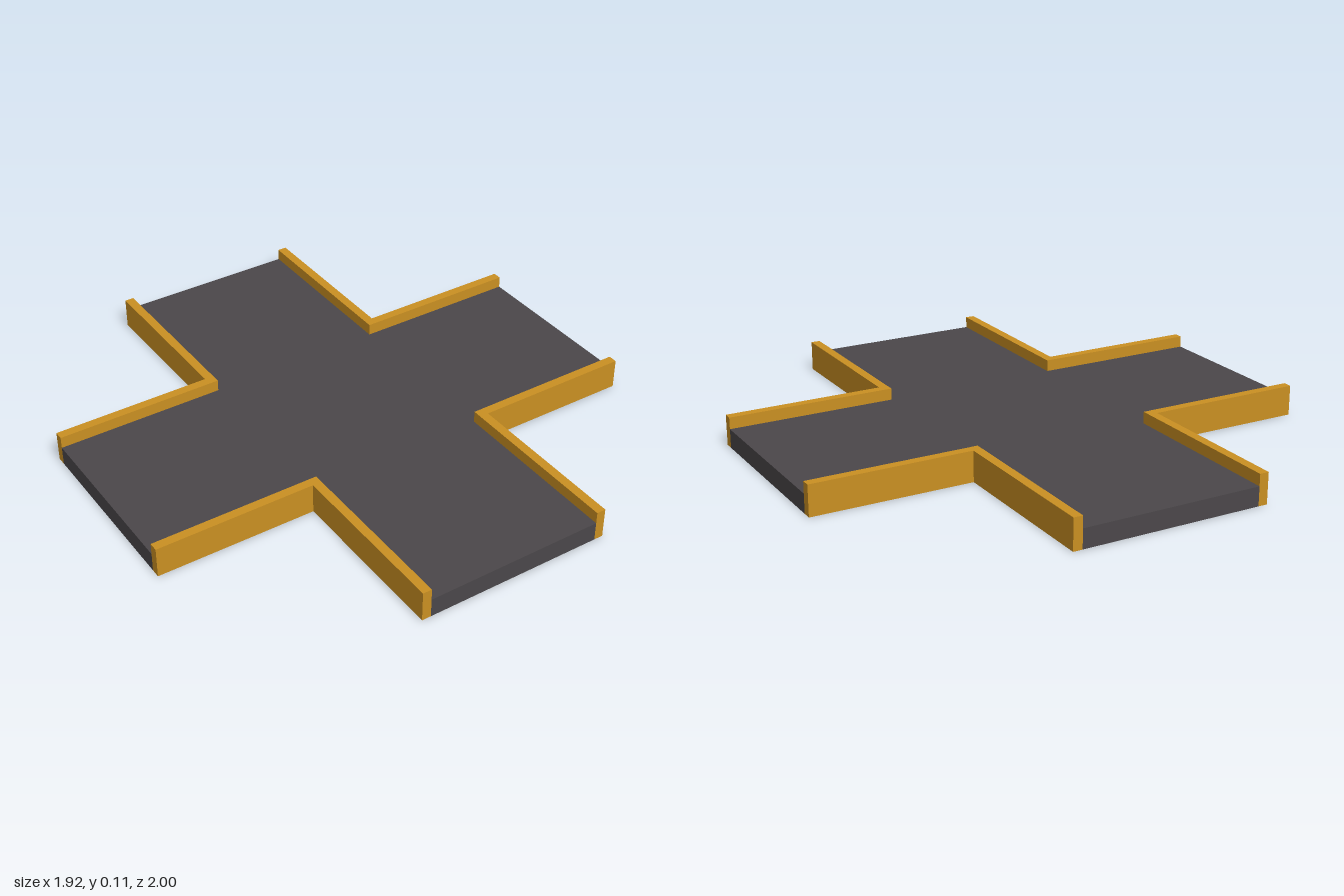
import * as THREE from 'three';

const HALF_X = 0.96, HALF_Z = 1;     // reach of the arms
const INNER = 0.333, OUTER = 0.367;  // inner and outer faces of the kerbs
const FLOOR_H = 0.07, KERB_H = 0.113;

// Extrude a ground-plan outline upwards from y = 0
function slab(points, height) {
  const shape = new THREE.Shape(points.map(([x, z]) => new THREE.Vector2(x, -z)));
  const geometry = new THREE.ExtrudeGeometry(shape, { depth: height, bevelEnabled: false });
  return geometry.rotateX(-Math.PI / 2);
}

export function createModel() {
  const group = new THREE.Group();
  group.name = 'crossroadTile';
  const asphalt = new THREE.MeshStandardMaterial({ name: 'darkGrey', color: 0x4b474a });
  const kerbPaint = new THREE.MeshStandardMaterial({ name: 'amber', color: 0xca9022 });

  // Cross-shaped floor
  const i = INNER;
  const floor = new THREE.Mesh(slab([
    [i, HALF_Z], [i, i], [HALF_X, i], [HALF_X, -i], [i, -i], [i, -HALF_Z],
    [-i, -HALF_Z], [-i, -i], [-HALF_X, -i], [-HALF_X, i], [-i, i], [-i, HALF_Z],
  ], FLOOR_H), asphalt);
  floor.name = 'floor';
  group.add(floor);

  // L-shaped kerb in each of the four corners
  const corner = [
    [INNER, INNER], [HALF_X, INNER], [HALF_X, OUTER],
    [OUTER, OUTER], [OUTER, HALF_Z], [INNER, HALF_Z],
  ];
  for (const [sx, xName] of [[1, 'Left'], [-1, 'Right']]) {
    for (const [sz, zName] of [[1, 'front'], [-1, 'back']]) {
      const kerb = new THREE.Mesh(slab(corner.map(([x, z]) => [x * sx, z * sz]), KERB_H), kerbPaint);
      kerb.name = `${zName}${xName}Kerb`;
      group.add(kerb);
    }
  }
  return group;
}
